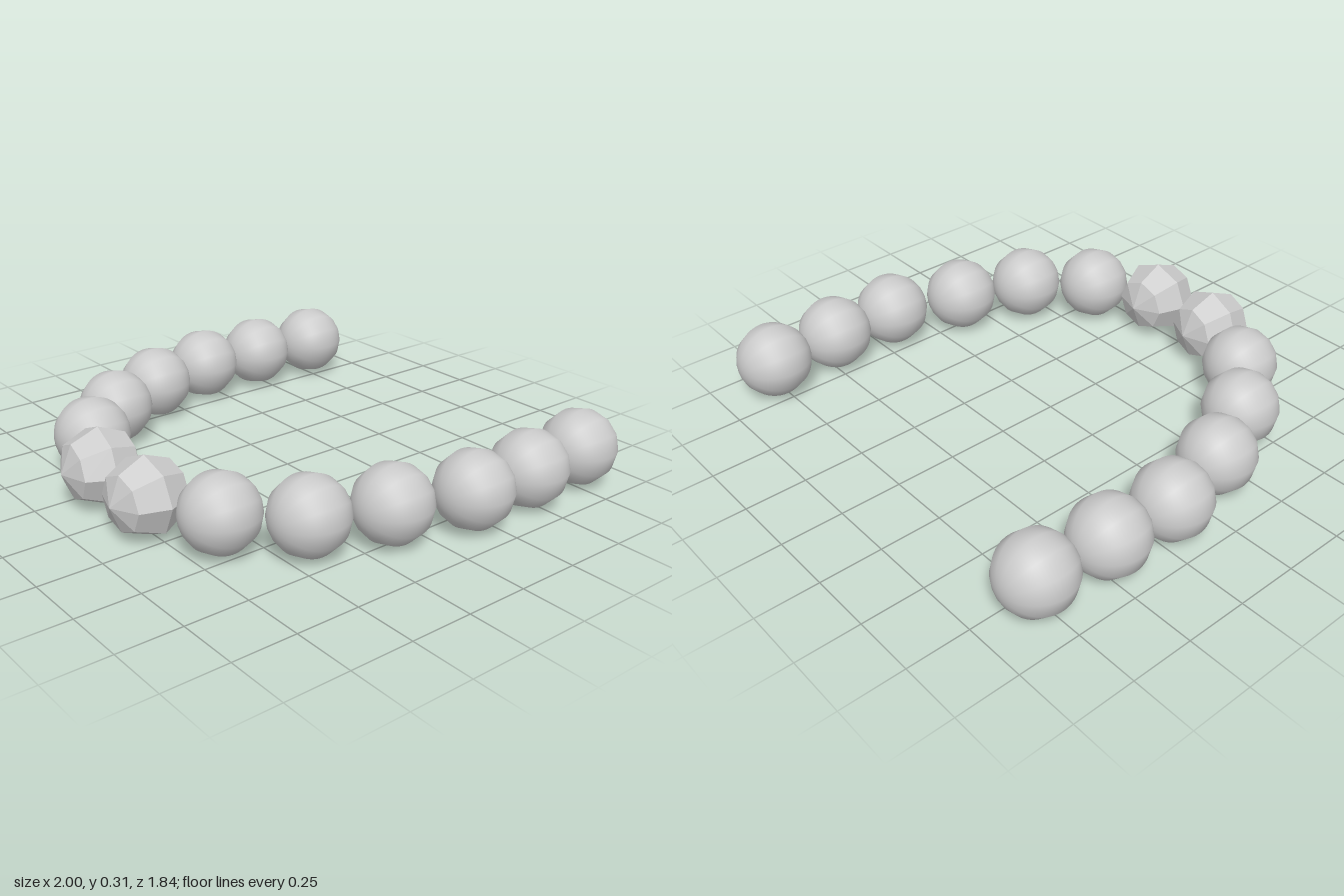
import * as THREE from 'three';

export function createModel() {
  const group = new THREE.Group();
  const smooth = new THREE.MeshStandardMaterial({ color: 0xcccccc });
  const faceted = new THREE.MeshStandardMaterial({ color: 0xcccccc, flatShading: true });
  const height = 0.156;

  // Both bead shapes have their poles along z
  const roundGeometry = new THREE.SphereGeometry(0.151, 12, 32).rotateX(Math.PI / 2);
  const gemGeometry = new THREE.SphereGeometry(0.156, 8, 4).rotateX(Math.PI / 2);

  function addBead(name, geometry, material, x, z, turn = 0) {
    const bead = new THREE.Mesh(geometry, material);
    bead.name = name;
    bead.position.set(x, height, z);
    bead.rotation.y = turn;
    group.add(bead);
  }

  // Round beads in pairs, from the open back to the front: [right x, left x, z]
  const pairs = [
    [-0.815, 0.83, -0.773],
    [-0.84, 0.845, -0.473],
    [-0.85, 0.845, -0.18],
    [-0.78, 0.75, 0.125],
    [-0.64, 0.64, 0.41],
    [-0.436, 0.436, 0.638],
  ];
  pairs.forEach(([right, left, z], i) => {
    addBead(`rightRoundBead${i + 1}`, roundGeometry, smooth, right, z);
    addBead(`leftRoundBead${i + 1}`, roundGeometry, smooth, left, z);
  });

  // Two faceted beads at the front
  addBead('rightFacetedBead', gemGeometry, faceted, -0.157, 0.765, -0.08);
  addBead('leftFacetedBead', gemGeometry, faceted, 0.163, 0.765, 0.08);

  return group;
}
